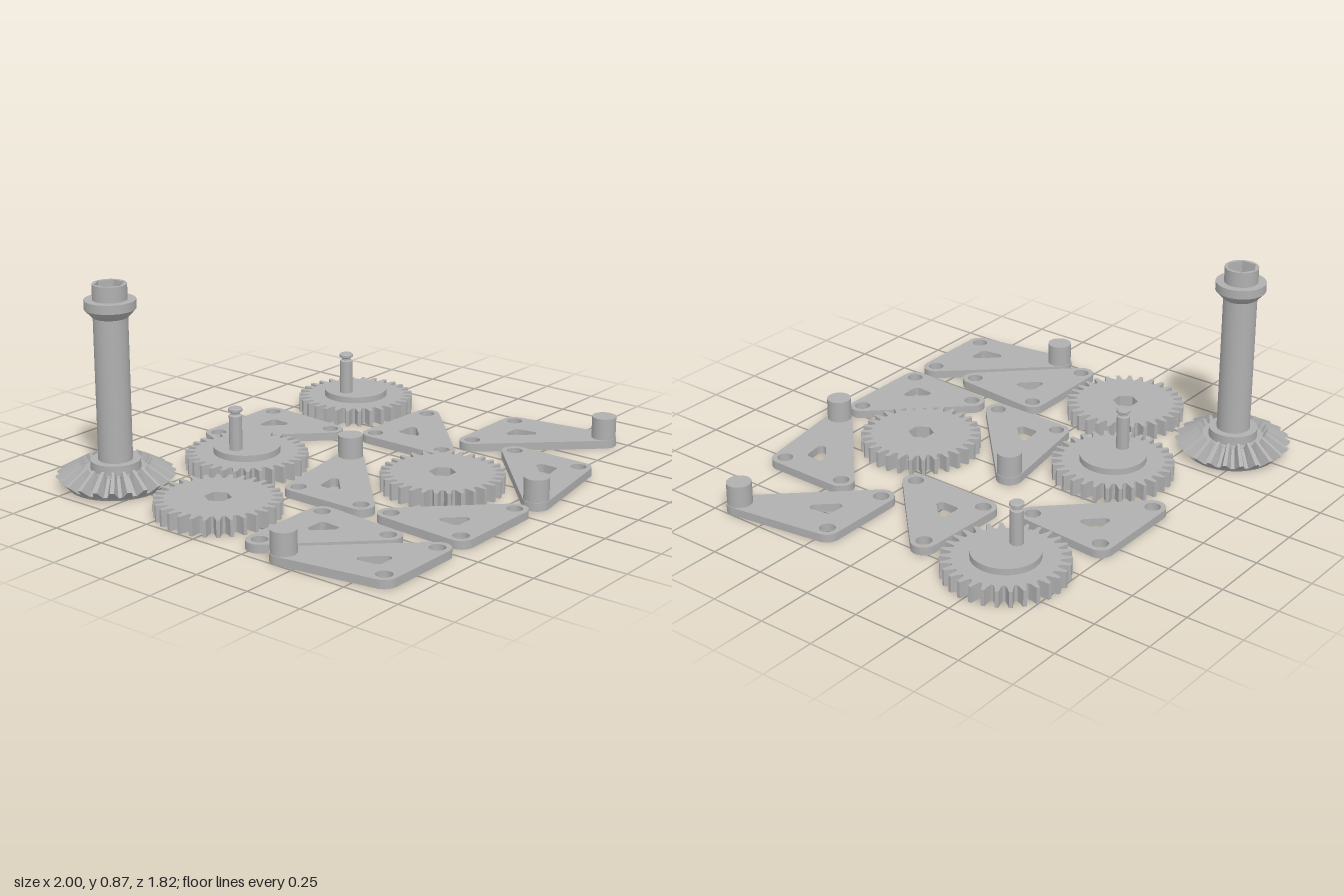
import * as THREE from 'three';
import { toCreasedNormals } from 'three/addons/utils/BufferGeometryUtils.js';
import { ConvexGeometry } from 'three/addons/geometries/ConvexGeometry.js';

const grey = new THREE.MeshStandardMaterial({ color: 0xb0b0b0 });
grey.name = 'grey plastic';

function add(parent, name, geometry, x = 0, y = 0, z = 0) {
  const mesh = new THREE.Mesh(geometry, grey);
  mesh.name = name;
  mesh.position.set(x, y, z);
  parent.add(mesh);
  return mesh;
}

function group(parent, name, x = 0, z = 0) {
  const g = new THREE.Group();
  g.name = name;
  g.position.set(x, 0, z);
  parent.add(g);
  return g;
}

// Lying extrusion: shape y becomes z, standing on y = 0
function slab(shape, height, curveSegments = 12) {
  const g = new THREE.ExtrudeGeometry(shape, { depth: height, bevelEnabled: false, curveSegments });
  g.rotateX(Math.PI / 2).translate(0, height, 0);
  return toCreasedNormals(g, 0.5);
}

function lathe(points) {
  const g = new THREE.LatheGeometry(points.map(([r, y]) => new THREE.Vector2(r, y)), 40);
  return toCreasedNormals(g, 0.4);
}

const circle = (x, y, r) => new THREE.Path().absarc(x, y, r, 0, Math.PI * 2, false);

function hexagon(r, turn = 0) {
  const pts = [];
  for (let i = 0; i < 6; i++) {
    const a = turn + (i * Math.PI) / 3;
    pts.push(new THREE.Vector2(r * Math.cos(a), r * Math.sin(a)));
  }
  return new THREE.Path(pts);
}

// Convex outline around three points, rounded by radius r
function roundedTriangle(points, r, path) {
  const [a, b, c] = points;
  const area = (b[0] - a[0]) * (c[1] - a[1]) - (b[1] - a[1]) * (c[0] - a[0]);
  const p = area > 0 ? points : [a, c, b];
  const normal = (i) => {
    const s = p[i % 3], e = p[(i + 1) % 3];
    return Math.atan2(e[1] - s[1], e[0] - s[0]) - Math.PI / 2;
  };
  for (let i = 0; i < 3; i++) path.absarc(p[i][0], p[i][1], r, normal(i + 2), normal(i), false);
  path.closePath();
  return path;
}

// Triangular plate; a peg may replace the hole at the first corner
function plate(parent, corners, window, hasPeg) {
  const g = group(parent, hasPeg ? 'pegPlate' : 'plate');
  const shape = roundedTriangle(corners, 0.056, new THREE.Shape());
  corners.forEach(([x, z], i) => {
    if (!(hasPeg && i === 0)) shape.holes.push(circle(x, z, 0.034));
  });
  const cx = (corners[0][0] + corners[1][0] + corners[2][0]) / 3;
  const cz = (corners[0][1] + corners[1][1] + corners[2][1]) / 3;
  const small = corners.map(([x, z]) => [window[0] + (x - cx) * 0.16, window[1] + (z - cz) * 0.16]);
  shape.holes.push(roundedTriangle(small, 0.02, new THREE.Path()));
  add(g, 'triangle', slab(shape, 0.036), 0, 0, 0);
  if (hasPeg) {
    const [x, z] = corners[0];
    add(g, 'peg', new THREE.CylinderGeometry(0.053, 0.053, 0.1, 32), x, 0.082, z);
  }
}

function gearShape() {
  const teeth = 30, pts = [];
  const pitch = (Math.PI * 2) / teeth;
  for (let i = 0; i < teeth; i++) {
    for (const [offset, r] of [[-0.38, 0.217], [-0.24, 0.235], [-0.13, 0.262], [0.13, 0.262], [0.24, 0.235], [0.38, 0.217]]) {
      const a = Math.PI / 2 + (i + offset) * pitch;
      pts.push(new THREE.Vector2(r * Math.cos(a), r * Math.sin(a)));
    }
  }
  return new THREE.Shape(pts);
}

function hexGear(parent, x, z) {
  const shape = gearShape();
  shape.holes.push(hexagon(0.057));
  add(group(parent, 'hexGear', x, z), 'toothedWheel', slab(shape, 0.072));
}

// Gear with a raised disc, an off-centre crank pin and a recess underneath
function crankGear(parent, x, z) {
  const g = group(parent, 'crankGear', x, z);
  const shape = gearShape();
  shape.holes.push(circle(0, 0, 0.1));
  add(g, 'toothedWheel', slab(shape, 0.072, 16));
  add(g, 'raisedDisc', new THREE.CylinderGeometry(0.143, 0.143, 0.04, 40), 0, 0.08, 0);
  add(g, 'crankPin', lathe([
    [0.028, 0.09], [0.028, 0.25], [0.02, 0.256], [0.02, 0.264],
    [0.03, 0.27], [0.03, 0.28], [0.025, 0.285], [0, 0.285],
  ]), -0.07, 0, 0);
}

function bevelGear(parent, x, z) {
  const g = group(parent, 'bevelGearColumn', x, z);
  // Hollow column with a hexagonal bore
  const tube = new THREE.Shape().absarc(0, 0, 0.072, 0, Math.PI * 2, false);
  tube.holes.push(hexagon(0.064, Math.PI / 6));
  add(g, 'column', slab(tube, 0.866, 20));
  add(g, 'collar', lathe([[0.071, 0.725], [0.08, 0.732], [0.107, 0.762], [0.107, 0.8], [0.071, 0.8]]));
  add(g, 'gearBody', lathe([
    [0.07, 0], [0.2, 0], [0.212, 0.018], [0.14, 0.075], [0.105, 0.075], [0.105, 0.115], [0.071, 0.115],
  ]));
  // Sloping teeth
  const points = [];
  for (const [r, y, w] of [[0.2, 0.004, 0.023], [0.21, 0.015, 0.023], [0.13, 0.072, 0.014], [0.25, 0.05, 0.009], [0.15, 0.107, 0.006]]) {
    points.push(new THREE.Vector3(r, y, w), new THREE.Vector3(r, y, -w));
  }
  const tooth = new ConvexGeometry(points);
  const count = 22;
  for (let i = 0; i < count; i++) {
    add(g, 'bevelTooth', tooth).rotation.y = ((i + 0.5) * Math.PI * 2) / count;
  }
}

export function createModel() {
  const model = new THREE.Group();
  model.name = 'mechanismParts';

  bevelGear(model, -0.75, -0.665);
  hexGear(model, -0.735, -0.107);
  hexGear(model, 0.06, 0.425);
  crankGear(model, -0.25, -0.38);
  crankGear(model, 0.66, -0.51);

  // Plates with three holes
  plate(model, [[-0.065, -0.71], [0.305, -0.71], [0.28, -0.353]], [0.185, -0.6], false);
  plate(model, [[0.36, -0.16], [0.718, -0.142], [0.36, 0.203]], [0.47, -0.05], false);
  plate(model, [[-0.907, 0.262], [-0.53, 0.262], [-0.562, 0.62]], [-0.655, 0.37], false);
  plate(model, [[-0.372, 0.487], [-0.396, 0.845], [-0.028, 0.845]], [-0.282, 0.735], false);
  // Plates with a peg
  plate(model, [[0.057, -0.06], [-0.374, 0.01], [-0.374, 0.337]], [-0.268, 0.1], true);
  plate(model, [[-0.946, 0.417], [-0.88, 0.845], [-0.549, 0.845]], [-0.79, 0.735], true);
  plate(model, [[0.12, 0.85], [0.548, 0.455], [0.546, 0.78]], [0.435, 0.69], true);
  plate(model, [[0.944, 0.658], [0.55, 0.23], [0.88, 0.23]], [0.762, 0.34], true);
  return model;
}
